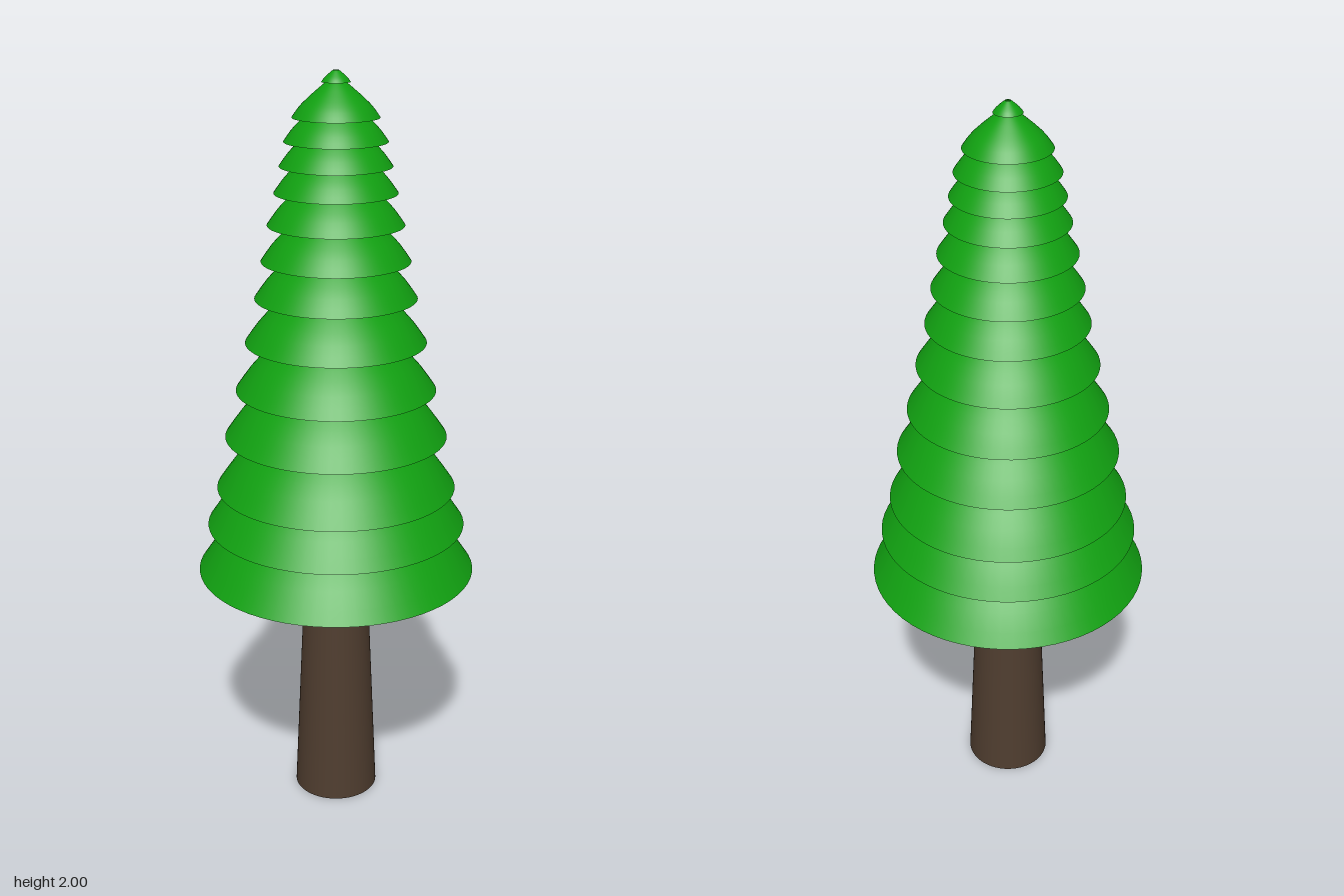
import * as THREE from 'three';

const SEGMENTS = 64;

// Turn a list of [radius, height] pairs into a smooth surface of revolution
function lathe(pairs) {
  return new THREE.LatheGeometry(pairs.map(([r, y]) => new THREE.Vector2(r, y)), SEGMENTS);
}

export function createModel() {
  const tree = new THREE.Group();
  tree.name = 'pineTree';

  const bark = new THREE.MeshStandardMaterial({ color: 0x4f3d2f });
  bark.name = 'barkBrown';
  const needles = new THREE.MeshStandardMaterial({ color: 0x11a011, side: THREE.DoubleSide });
  needles.name = 'needleGreen';

  // Tapered trunk running up through the hollow tiers to the tip
  const trunk = new THREE.Mesh(
    lathe([[0.115, 0], [0.085, 0.685], [0.055, 1.32], [0.023, 1.96], [0.007, 1.995], [0, 1.996]]), bark);
  trunk.name = 'trunk';
  tree.add(trunk);

  const base = new THREE.Mesh(new THREE.CircleGeometry(0.115, SEGMENTS).rotateX(Math.PI / 2), bark);
  base.name = 'trunkBase';
  tree.add(base);

  // Domed skirt, open below: [share of rim radius, share of tier height]
  const skirt = [[1, 0], [0.935, 0.12], [0.86, 0.25], [0.77, 0.38], [0.67, 0.5],
    [0.56, 0.63], [0.42, 0.78], [0.3, 0.91], [0.2, 1]];

  // Tiers from bottom to top: [rim height, rim radius]
  const tiers = [[0.685, 0.373], [0.817, 0.345], [0.922, 0.318], [1.065, 0.293],
    [1.192, 0.262], [1.32, 0.235], [1.436, 0.209], [1.532, 0.191], [1.624, 0.174],
    [1.704, 0.156], [1.77, 0.142], [1.83, 0.13], [1.888, 0.109], [1.972, 0.036]];

  tiers.forEach(([y, radius], i) => {
    const height = radius * 0.785;
    const tier = new THREE.Mesh(lathe(skirt.map(([r, h]) => [r * radius, h * height])), needles);
    tier.name = `foliageTier${i + 1}`;
    tier.position.y = y;
    tree.add(tier);
  });

  return tree;
}
